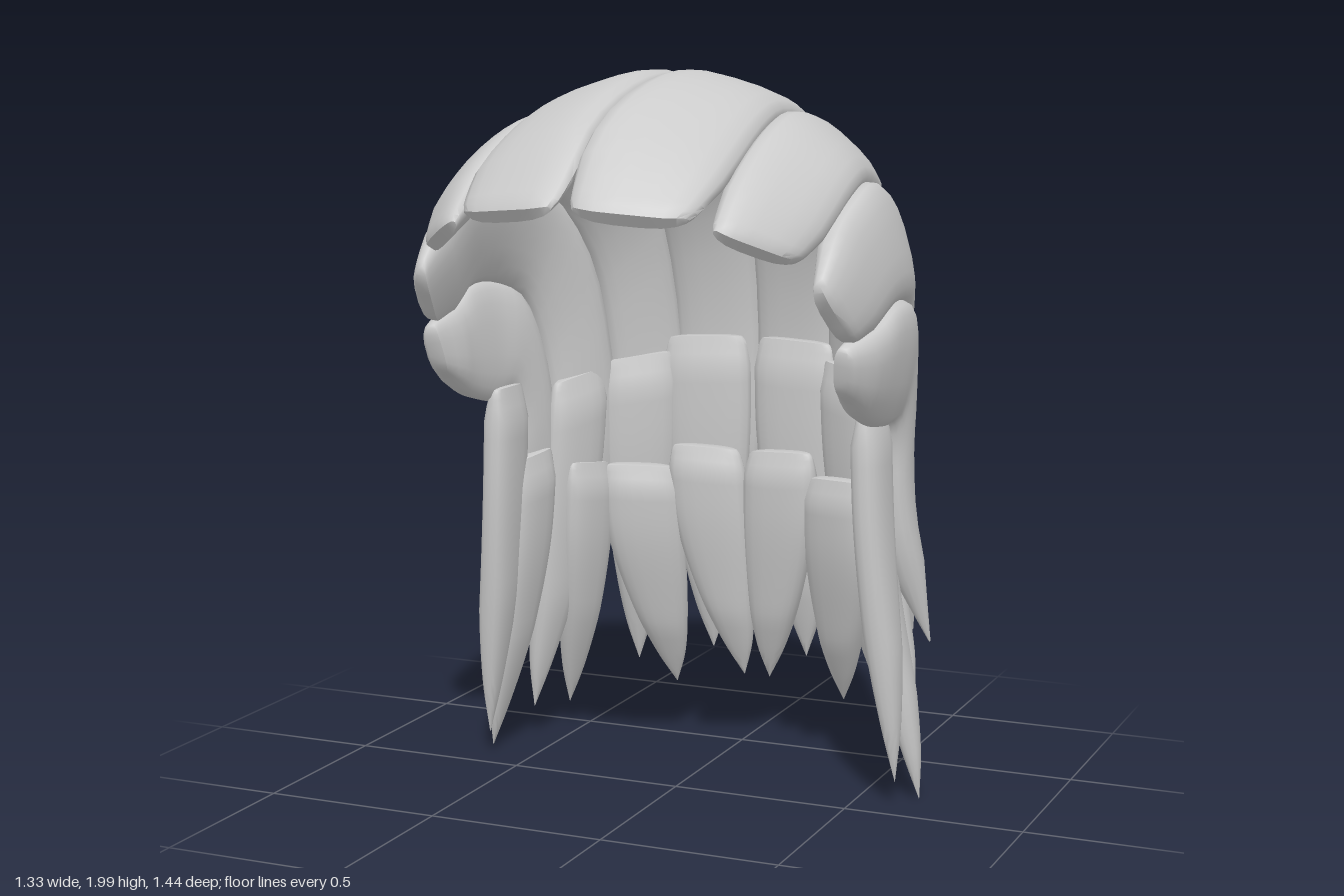
import * as THREE from 'three';
import { toCreasedNormals } from 'three/addons/utils/BufferGeometryUtils.js';

const RING = 18;
const ROOT = 0.07;
// Stations along a lock, closer together at the blunt root
const STATIONS = [0, 0.008, 0.02, 0.04, ROOT];
for (let i = 1; i <= 22; i++) STATIONS.push(ROOT + (0.925 * i) / 22);

const curve = (pts) => new THREE.CatmullRomCurve3(pts.map((p) => new THREE.Vector3(...p)), false, 'centripetal');
const softPow = (v, e) => Math.sign(v) * Math.abs(v) ** e;

// A padded lock of hair spanning two edge curves: domed outside, flatter inside.
// bow pushes the middle of the root forward so that its end is rounded.
function lockGeometry(edgeA, edgeB, { bulge, inner, bow }, side) {
  const a = curve(edgeA), b = curve(edgeB);
  const middle = (t) => a.getPoint(t).lerp(b.getPoint(t), 0.5);
  const pos = [], index = [];
  const tri = (i, j, k) => (side > 0 ? index.push(i, j, k) : index.push(i, k, j));
  for (const t of STATIONS) {
    const A = a.getPoint(t), B = b.getPoint(t);
    const tangent = middle(Math.min(1, t + 0.02)).sub(middle(Math.max(0, t - 0.02))).normalize();
    const across = B.clone().sub(A);
    const width = across.length();
    const n = across.clone().cross(tangent).normalize();
    const root = Math.min(1, t / ROOT);
    const squeeze = 0.84 + 0.18 * Math.sqrt(root);
    const outerFull = 0.4 + 0.6 * Math.sqrt(root);
    const innerFull = 0.4 + 0.6 * root;
    for (let k = 0; k < RING; k++) {
      const angle = (k / RING) * Math.PI * 2;
      const u = squeeze * softPow(Math.cos(angle), 0.8);
      const h = softPow(Math.sin(angle), 0.8);
      const depth = h > 0 ? Math.min(bulge, width * 0.4) * outerFull : Math.min(inner, width * 0.3) * innerFull;
      const p = A.clone().addScaledVector(across, 0.5 - 0.5 * u).addScaledVector(n, h * depth);
      p.addScaledVector(tangent, -bow * (1 - root) * (1 - u ** 4));
      pos.push(p.x * side, p.y, p.z);
    }
  }
  for (let i = 0; i < STATIONS.length - 1; i++) {
    for (let k = 0; k < RING; k++) {
      const k2 = (k + 1) % RING;
      const p = i * RING + k, q = i * RING + k2;
      tri(p, q, q + RING);
      tri(p, q + RING, p + RING);
    }
  }
  // Root cap as strips across the end, and tiny tip cap
  const last = (STATIONS.length - 1) * RING;
  for (let k = 0; k < RING / 2; k++) {
    const m = (RING - k) % RING, m2 = RING - k - 1;
    tri(k, m2, k + 1);
    tri(k, m, m2);
  }
  for (let k = 1; k < RING - 1; k++) tri(last, last + k, last + k + 1);
  const g = new THREE.BufferGeometry();
  g.setAttribute('position', new THREE.Float32BufferAttribute(pos, 3));
  g.setIndex(index);
  return toCreasedNormals(g, 0.9);
}

// Seams between the long locks, from the fringe over the crown and down the back
const seams = [
  [[0, 1.695, 0.69], [0, 1.86, 0.5], [0, 1.955, 0.22], [0, 1.97, -0.05],
    [0, 1.88, -0.33], [0, 1.68, -0.52], [0, 1.35, -0.62], [0, 0.9, -0.66]],
  [[0.335, 1.665, 0.6], [0.34, 1.77, 0.4], [0.33, 1.85, 0.2], [0.31, 1.88, 0],
    [0.295, 1.83, -0.26], [0.27, 1.62, -0.48], [0.25, 1.3, -0.59], [0.235, 0.88, -0.63]],
  [[0.53, 1.545, 0.4], [0.545, 1.62, 0.28], [0.55, 1.69, 0.14], [0.53, 1.71, -0.02],
    [0.495, 1.65, -0.23], [0.44, 1.45, -0.385], [0.41, 1.15, -0.46], [0.41, 0.8, -0.5]],
  [[0.6, 1.325, 0.22], [0.61, 1.36, 0.14], [0.62, 1.4, 0.05], [0.615, 1.4, -0.08],
    [0.58, 1.35, -0.2], [0.55, 1.2, -0.27], [0.53, 1.0, -0.3], [0.535, 0.75, -0.32]],
  [[0.57, 1.17, 0.24], [0.57, 1.12, 0.16], [0.57, 1.09, 0.08], [0.57, 1.07, -0.02],
    [0.57, 1.07, -0.09], [0.57, 1.0, -0.12], [0.57, 0.87, -0.13], [0.59, 0.7, -0.16]],
];
const longLocks = [
  { name: 'crownLock', tip: [0.08, 0.52, -0.715], bulge: 0.052, inner: 0.045, bow: 0.05 },
  { name: 'upperSideLock', tip: [0.31, 0.46, -0.65], start: [0.34, 1.645, 0.59], bulge: 0.05, inner: 0.045, bow: 0.04 },
  { name: 'lowerSideLock', tip: [0.54, 0.4, -0.46], start: [0.55, 1.52, 0.4], bulge: 0.055, inner: 0.045, bow: 0.055 },
  { name: 'templeLock', tip: [0.65, 0.42, -0.28], start: [0.59, 1.33, 0.29], bulge: 0.06, inner: 0.045, bow: 0.03 },
];

// Hanging under-layers: two root corners and a tip
const hangingLocks = [
  { name: 'middleBackLock', a: [0.01, 1.21, -0.57], b: [0.27, 1.2, -0.54], tip: [0.15, 0.25, -0.64] },
  { name: 'middleOuterLock', a: [0.23, 1.16, -0.54], b: [0.42, 1.13, -0.43], tip: [0.38, 0.2, -0.6] },
  { name: 'middleSideLock', a: [0.41, 1.12, -0.43], b: [0.5, 1.08, -0.25], tip: [0.59, 0.1, -0.3] },
  { name: 'earLock', a: [0.54, 1.1, -0.14], b: [0.54, 1.1, 0.04], tip: [0.62, 0.08, -0.07] },
  { name: 'innerBackLock', a: [0.005, 0.88, -0.51], b: [0.23, 0.89, -0.48], tip: [0.04, 0.18, -0.62] },
  { name: 'innerOuterLock', a: [0.2, 0.82, -0.49], b: [0.41, 0.83, -0.4], tip: [0.27, 0.13, -0.64] },
  { name: 'innerSideLock', a: [0.4, 0.83, -0.44], b: [0.46, 0.85, -0.27], tip: [0.55, 0.08, -0.46] },
  { name: 'innerEarLock', a: [0.5, 0.9, -0.25], b: [0.53, 0.88, -0.07], tip: [0.66, 0.01, -0.165] },
];
const hangingShape = { bulge: 0.05, inner: 0.042, bow: 0.01 };

// Edge of a hanging lock: drops nearly straight, then narrows and sweeps to the tip
function hangingEdge(corner, { a, b, tip }) {
  const at = (drop, sweep, keep) => corner.map((v, i) => {
    const centre = (a[i] + b[i]) / 2;
    return centre + (v - centre) * keep + (tip[i] - centre) * (i === 1 ? drop : sweep);
  });
  return [corner, at(0.3, 0.15, 0.98), at(0.6, 0.48, 0.75), at(0.85, 0.82, 0.38), tip];
}

export function createModel() {
  const group = new THREE.Group();
  group.name = 'hair';
  const material = new THREE.MeshStandardMaterial({ color: 0xcccccc, side: THREE.DoubleSide });
  for (const side of [1, -1]) {
    const half = new THREE.Group();
    half.name = side > 0 ? 'leftHalf' : 'rightHalf';
    const add = (name, a, b, shape) => {
      const mesh = new THREE.Mesh(lockGeometry(a, b, shape, side), material);
      mesh.name = name;
      half.add(mesh);
    };
    longLocks.forEach((lock, i) => {
      const upper = lock.start ? [lock.start, ...seams[i].slice(1)] : seams[i];
      add(lock.name, [...upper, lock.tip], [...seams[i + 1], lock.tip], lock);
    });
    for (const lock of hangingLocks) {
      add(lock.name, hangingEdge(lock.a, lock), hangingEdge(lock.b, lock), hangingShape);
    }
    group.add(half);
  }
  return group;
}
